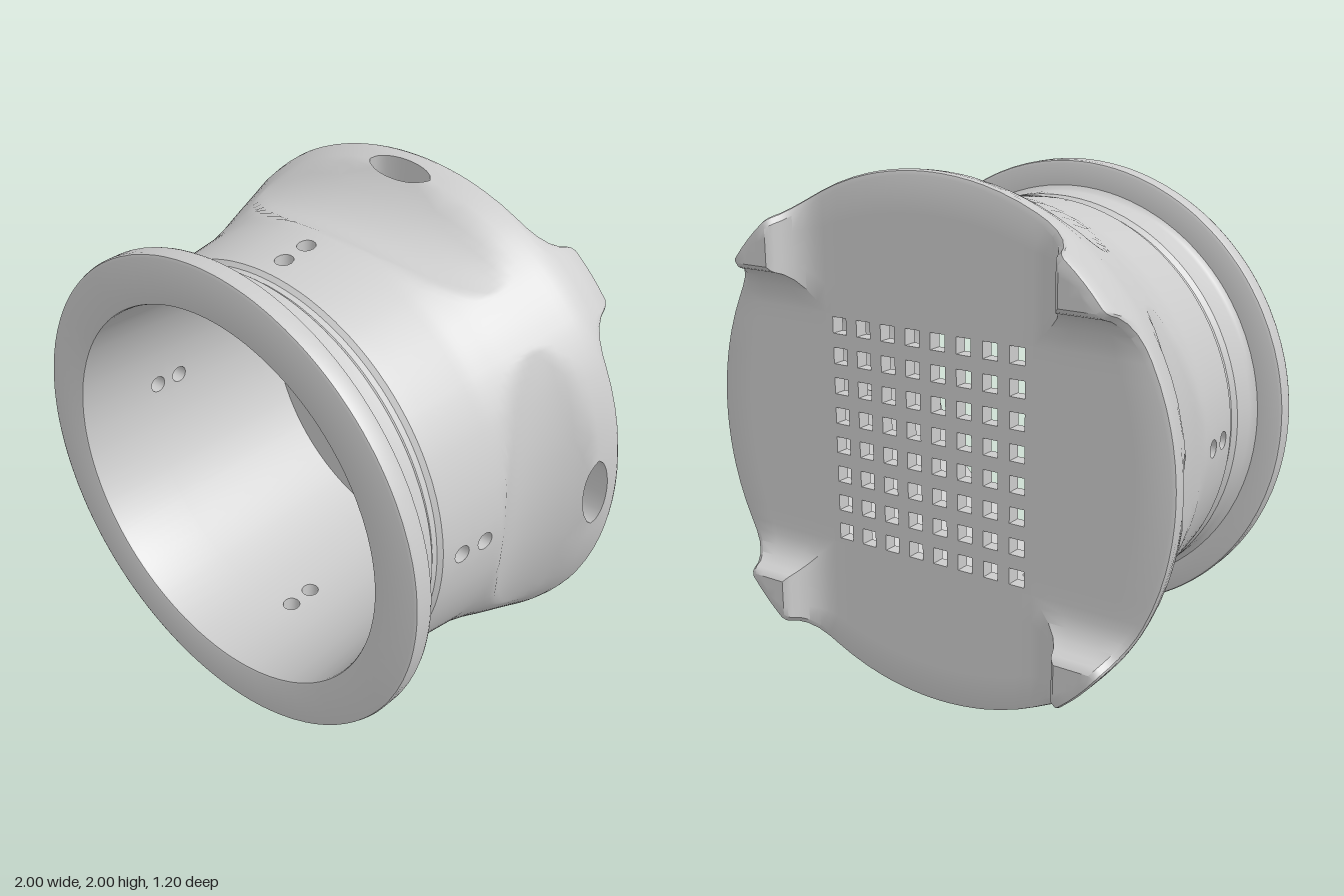
import * as THREE from 'three';
import { mergeGeometries, toCreasedNormals } from 'three/addons/utils/BufferGeometryUtils.js';

// Piecewise-linear lookup in a table of [x, value], x ascending
function lookup(table, x) {
  if (x <= table[0][0]) return table[0][1];
  for (let k = 1; k < table.length; k++) {
    const [x0, v0] = table[k - 1], [x1, v1] = table[k];
    if (x <= x1) return v0 + (v1 - v0) * (x - x0) / (x1 - x0);
  }
  return table[table.length - 1][1];
}
const lerp = THREE.MathUtils.lerp;
const polar = (r, a, z) => new THREE.Vector3(r * Math.cos(a), r * Math.sin(a), z);

const BACK = -0.475, FLOOR = -0.42, RIM = 0.98, SQUARE = 0.45;

// Foot height above the back face, by sideways distance from the quadrant's axis
const FOOT = [[0.45, 0], [0.49, 0.002], [0.53, 0.013], [0.565, 0.037], [0.588, 0.07],
  [0.598, 0.1], [0.606, 0.115], [0.62, 0.125]];
// Flaring body radius by z
const BODY = [[-0.46, 1], [-0.42, 0.995], [-0.33, 0.965], [-0.2, 0.924], [-0.1, 0.89],
  [0.03, 0.857], [0.285, 0.825]];
// Groove, neck, flange and front lip as [radius, z]
const FLANGE = [[0.82, 0.32], [0.805, 0.335], [0.805, 0.36], [0.82, 0.38], [0.82, 0.49],
  [0.825, 0.505], [0.84, 0.518], [0.925, 0.52], [0.936, 0.525], [0.94, 0.535], [0.94, 0.585],
  [0.936, 0.596], [0.925, 0.6], [0.765, 0.6], [0.757, 0.597], [0.754, 0.59]];

// Outer radius: flared body less an oval scoop in the middle of each quadrant
function outerRadius(a, z) {
  const corner = 0.012 * Math.sin(2 * a) ** 2 * THREE.MathUtils.clamp(-z / 0.4, 0, 1);
  const u = a / 0.66, v = (z + 0.16 + 0.06 * u * u) / 0.19;
  return lookup(BODY, z) + corner - 0.075 * Math.max(0, 1 - u * u - v * v);
}
const boreRadius = (a, z) => lerp(0.715, 0.755, (z - FLOOR) / (0.6 - FLOOR));

// One quarter of the shell: a grid running back face > rim > body > flange > bore
function quarterShell() {
  const half = [0.04, 0.08, 0.14, 0.2, 0.25, 0.32, 0.4,
    ...FOOT.map(([s]) => Math.asin(s / RIM)), Math.asin(0.66 / RIM), Math.PI / 4];
  const cols = [...half.map((a) => -a).reverse(), 0, ...half];
  const mid = half.length;
  const rows = [];
  const backZ = (a) => BACK - lookup(FOOT, Math.abs(RIM * Math.sin(a)));

  // Back face and feet
  for (let k = 0; k <= 4; k++) rows.push({ point: (a) => {
    const s = RIM * Math.sin(a);
    const x = lerp(Math.max(Math.abs(s), SQUARE), RIM * Math.cos(a), k / 4);
    return new THREE.Vector3(x, s, backZ(a));
  } });
  // Rounded rim and the outside of the feet
  rows.push({ point: (a) => polar(outerRadius(a, -0.5) - 0.006, a, backZ(a) + 0.006) });
  for (let k = 0; k < 3; k++) rows.push({ point: (a) => {
    const z = lerp(backZ(a) + 0.02, -0.44, k / 3);
    return polar(outerRadius(a, z), a, z);
  } });
  const addWall = (radius, zs) => {
    for (const z of zs) rows.push({ z, radius, point: (a) => polar(radius(a, z), a, z) });
  };
  // Body, with rows that frame the holes
  const slotRows = [-0.4, -0.37, -0.34, -0.3];
  const scoopRows = Array.from({ length: 13 }, (_, k) => -0.272 + k * 0.026);
  const pinRows = [0.065, 0.0925, 0.12, 0.1475, 0.175, 0.2025, 0.23, 0.2575, 0.285];
  const outerStart = rows.length;
  addWall(outerRadius, [-0.44, ...slotRows, ...scoopRows, ...pinRows]);
  const outerEnd = rows.length - 1;
  for (const [r, z] of FLANGE) rows.push({ point: (a) => polar(r, a, z) });
  const boreStart = rows.length;
  addWall(boreRadius, [...pinRows.slice().reverse(), ...scoopRows.slice().reverse(),
    ...slotRows.slice().reverse(), FLOOR]);
  const boreEnd = rows.length - 1;

  // Slot and two pin holes: first row counted from the end of each wall
  const holes = [
    { z: -0.37, w: 0.14, h: 0.042, cols: 5, outer: outerStart, inner: boreEnd - 4, ref: 0.965 },
    { z: 0.12, w: 0.034, h: 0.034, cols: 2, outer: outerEnd - 8, inner: boreStart + 4, ref: 0.84 },
    { z: 0.23, w: 0.034, h: 0.034, cols: 2, outer: outerEnd - 4, inner: boreStart, ref: 0.83 },
  ];

  const pos = [];
  const quad = (a, b, c, d) => {
    for (const p of [a, b, c, a, c, d]) pos.push(p.x, p.y, p.z);
  };
  const P = rows.map((row) => cols.map((a) => row.point(a)));
  const inHole = (i, j) => holes.some((o) => i >= mid - o.cols && i < mid + o.cols
    && [o.outer, o.inner].some((j0) => j >= j0 && j < j0 + 4));
  for (let j = 0; j < rows.length - 1; j++)
    for (let i = 0; i < cols.length - 1; i++)
      if (!inHole(i, j)) quad(P[j][i], P[j][i + 1], P[j + 1][i + 1], P[j + 1][i]);

  // Surface around a hole, from its frame of grid cells in to the oval edge
  const fillAround = (o, j0, sign, ref) => {
    const frame = [], n = o.cols;
    for (let i = -n; i < n; i++) frame.push([i, -2]);
    for (let j = -2; j < 2; j++) frame.push([n, j]);
    for (let i = n; i > -n; i--) frame.push([i, 2]);
    for (let j = 2; j > -2; j--) frame.push([-n, j]);
    const radius = rows[j0].radius;
    const at = ([i, j], m) => {
      const t = Math.atan2(sign * j / 2, i / n);
      const a = lerp(cols[mid + i], Math.asin(o.w * Math.cos(t) / ref), m);
      const z = lerp(rows[j0 + 2 + j].z, o.z + o.h * Math.sin(t), m);
      return polar(radius(a, z), a, z);
    };
    const rings = [0, 0.5, 1].map((m) => frame.map((f) => at(f, m)));
    for (let m = 0; m < 2; m++) frame.forEach((_, k) => {
      const q = (k + 1) % frame.length;
      quad(rings[m][k], rings[m][q], rings[m + 1][q], rings[m + 1][k]);
    });
    return { frame, edge: rings[2] };
  };
  for (const o of holes) {
    const out = fillAround(o, o.outer, 1, o.ref);
    const inn = fillAround(o, o.inner, -1, 0.735);
    // Wall through the hole
    const match = out.frame.map(([i, j]) =>
      inn.edge[inn.frame.findIndex(([a, b]) => a === i && b === -j)]);
    out.edge.forEach((p, k) => {
      const q = (k + 1) % match.length;
      quad(p, out.edge[q], match[q], match[k]);
    });
  }
  const geo = new THREE.BufferGeometry();
  geo.setAttribute('position', new THREE.Float32BufferAttribute(pos, 3));
  return geo;
}

// Plate pierced by an 8 x 8 grid of square holes
function piercedPlate(shape, z, depth) {
  const h = 0.031;
  for (let i = 0; i < 8; i++) for (let j = 0; j < 8; j++) {
    const x = (i - 3.5) * 0.111, y = (j - 3.5) * 0.1155 + 0.004;
    shape.holes.push(new THREE.Path([[-h, -h], [-h, h], [h, h], [h, -h]]
      .map(([dx, dy]) => new THREE.Vector2(x + dx, y + dy))));
  }
  return new THREE.ExtrudeGeometry(shape, { depth, bevelEnabled: false, curveSegments: 64 })
    .translate(0, 0, z);
}

export function createModel() {
  const group = new THREE.Group();
  const material = new THREE.MeshStandardMaterial({ color: 0xcccccc, side: THREE.DoubleSide });
  const add = (name, geometry) => {
    const mesh = new THREE.Mesh(geometry, material);
    mesh.name = name;
    mesh.position.y = 1;
    group.add(mesh);
  };

  // Shell: flange, body, feet and bore
  const quarter = quarterShell();
  const quarters = [0, 1, 2, 3].map((k) => quarter.clone().rotateZ(k * Math.PI / 2));
  add('shell', toCreasedNormals(mergeGeometries(quarters), 0.6));

  // Floor of the bore and the flat centre of the back face
  const disc = new THREE.Shape().absarc(0, 0, 0.725, 0, Math.PI * 2);
  add('floorPlate', piercedPlate(disc, -0.46, 0.04));
  const S = SQUARE;
  const square = new THREE.Shape([[-S, -S], [S, -S], [S, S], [-S, S]]
    .map(([x, y]) => new THREE.Vector2(x, y)));
  add('backPlate', piercedPlate(square, BACK, 0.015));

  return group;
}
